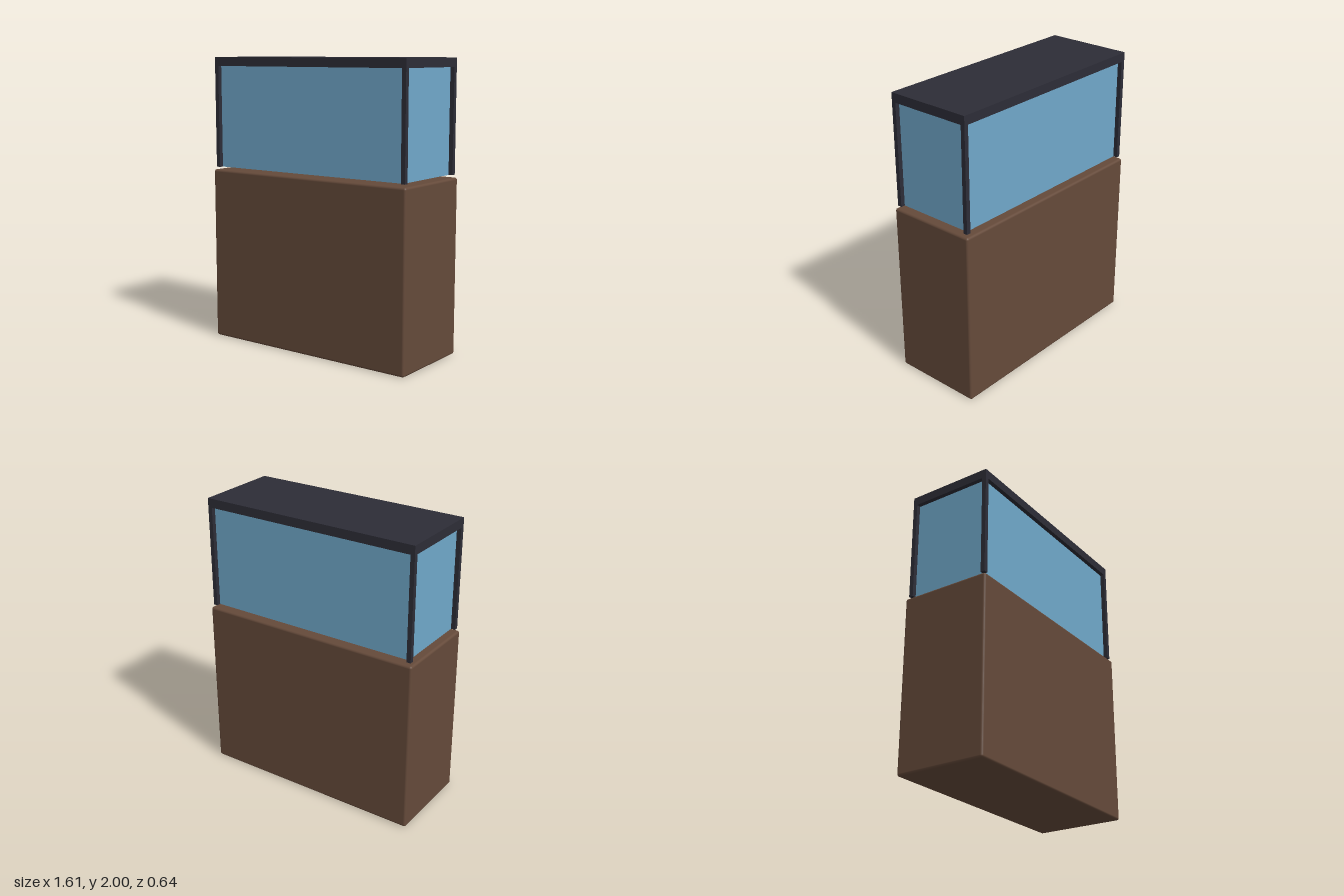
import * as THREE from 'three';
import { RoundedBoxGeometry } from 'three/addons/geometries/RoundedBoxGeometry.js';

function material(name, color) {
  const m = new THREE.MeshStandardMaterial({ color });
  m.name = name;
  return m;
}

export function createModel() {
  const model = new THREE.Group();
  model.name = 'aquariumOnCabinet';

  const wood = material('brownWood', 0x654a3a);
  const trim = material('darkTrim', 0x2d2d37);
  const glass = material('blueGlass', 0x70a8ca);

  const add = (name, geometry, mat, x, y, z) => {
    const mesh = new THREE.Mesh(geometry, mat);
    mesh.name = name;
    mesh.position.set(x, y, z);
    model.add(mesh);
  };

  // Cabinet with softly rounded edges
  const cabinetHeight = 1.212;
  add('cabinet', new RoundedBoxGeometry(1.61, cabinetHeight, 0.64, 3, 0.016), wood, 0, cabinetHeight / 2, 0);

  // Tank sizes; it sits a hair above the cabinet
  const halfX = 0.79, halfZ = 0.305, post = 0.03;
  const bottom = 1.23, lidBottom = 1.938, top = 2;
  const wallHeight = lidBottom - bottom;
  const wallY = (lidBottom + bottom) / 2;

  // Glass body, recessed behind the corner posts
  add('glassTank', new THREE.BoxGeometry(2 * (halfX - post), wallHeight, 2 * (halfZ - post)), glass, 0, wallY, 0);

  // Lid
  add('lid', new THREE.BoxGeometry(2 * halfX, top - lidBottom, 2 * halfZ), trim, 0, (top + lidBottom) / 2, 0);

  // Corner posts
  const postGeometry = new THREE.BoxGeometry(post, wallHeight, post);
  for (const sx of [-1, 1]) {
    for (const sz of [-1, 1]) {
      const name = (sz > 0 ? 'front' : 'back') + (sx > 0 ? 'Left' : 'Right') + 'Post';
      add(name, postGeometry, trim, sx * (halfX - post / 2), wallY, sz * (halfZ - post / 2));
    }
  }

  return model;
}
